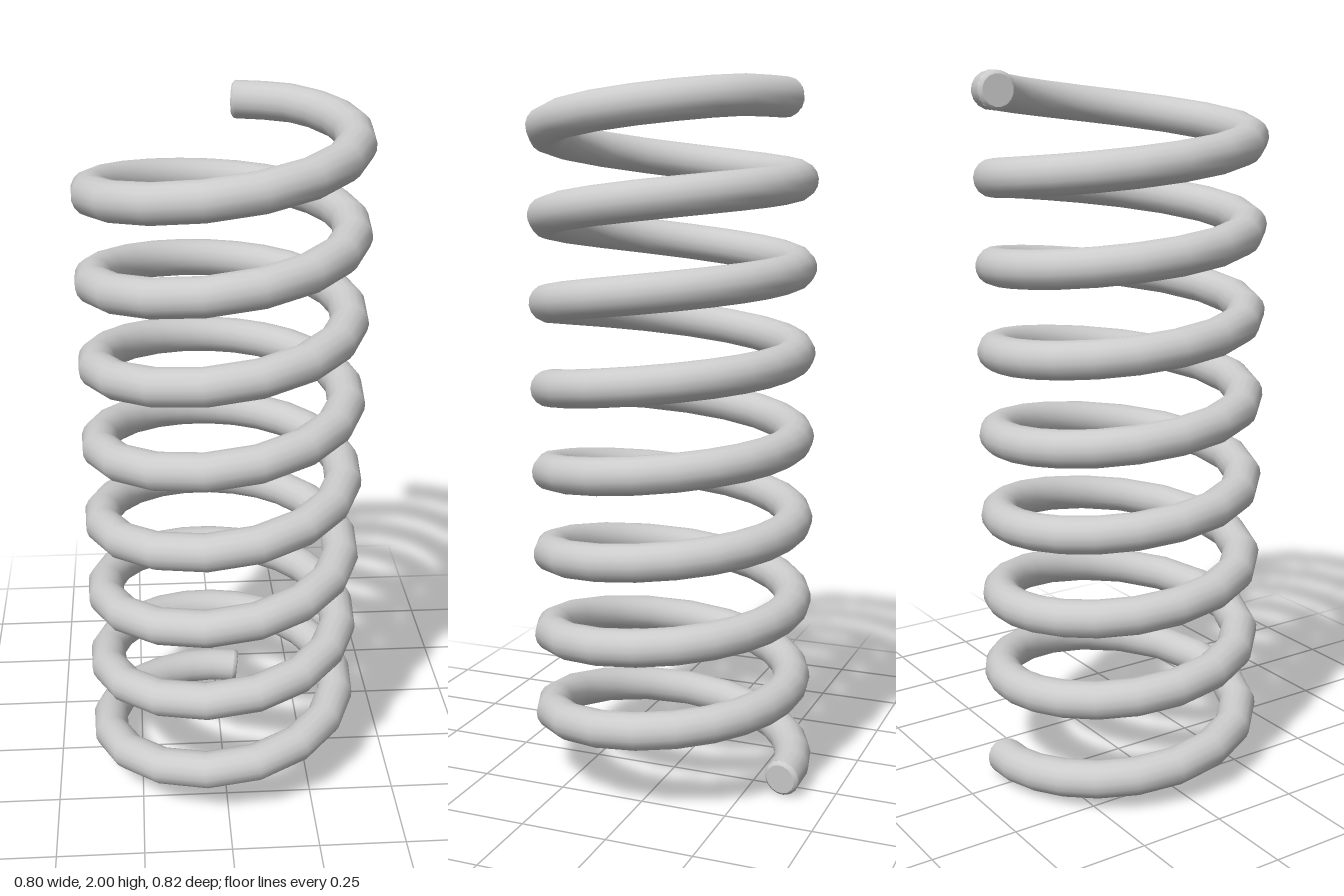
import * as THREE from 'three';

const TURNS = 8, STEPS = 20, WIRE = 0.0525, PITCH = 0.2385, TOP = 2 - WIRE;

// Helix starting at the back, with slightly uneven steps and rise round each turn
class CoilCurve extends THREE.Curve {
  getPoint(t, target = new THREE.Vector3()) {
    const u = t * TURNS * Math.PI * 2;
    const angle = -0.18 + u - 0.28 * Math.sin(u);
    const rise = (u - 0.55 * Math.sin(u)) / (Math.PI * 2);
    const flare = 0.016 * Math.max(0, 1 - u / 1.2); // lowest end sits a little wider
    return target.set(
      -0.349 * Math.sin(angle),
      Math.min(WIRE + PITCH * rise, TOP),
      0.008 - (0.354 + flare) * Math.cos(angle)
    );
  }
  // Equal parameter steps instead of equal arc lengths
  getUtoTmapping(u) {
    return u;
  }
}

export function createModel() {
  const group = new THREE.Group();
  group.name = 'coilSpring';
  const material = new THREE.MeshStandardMaterial({ color: 0xcccccc });
  const curve = new CoilCurve();

  // Wound wire
  const coil = new THREE.Mesh(new THREE.TubeGeometry(curve, TURNS * STEPS, WIRE, 16), material);
  coil.name = 'coil';
  group.add(coil);

  // Bevelled caps closing both wire ends
  const profile = [[WIRE, 0], [0.05, 0.007], [0.043, 0.012], [0.043, 0.012], [0, 0.012]]
    .map(([x, y]) => new THREE.Vector2(x, y));
  const capGeometry = new THREE.LatheGeometry(profile, 16);
  const up = new THREE.Vector3(0, 1, 0);
  for (const [name, t, sign] of [['lowerEndCap', 0, -1], ['upperEndCap', 1, 1]]) {
    const cap = new THREE.Mesh(capGeometry, material);
    cap.name = name;
    cap.position.copy(curve.getPoint(t));
    cap.quaternion.setFromUnitVectors(up, curve.getTangent(t).multiplyScalar(sign));
    group.add(cap);
  }
  return group;
}
